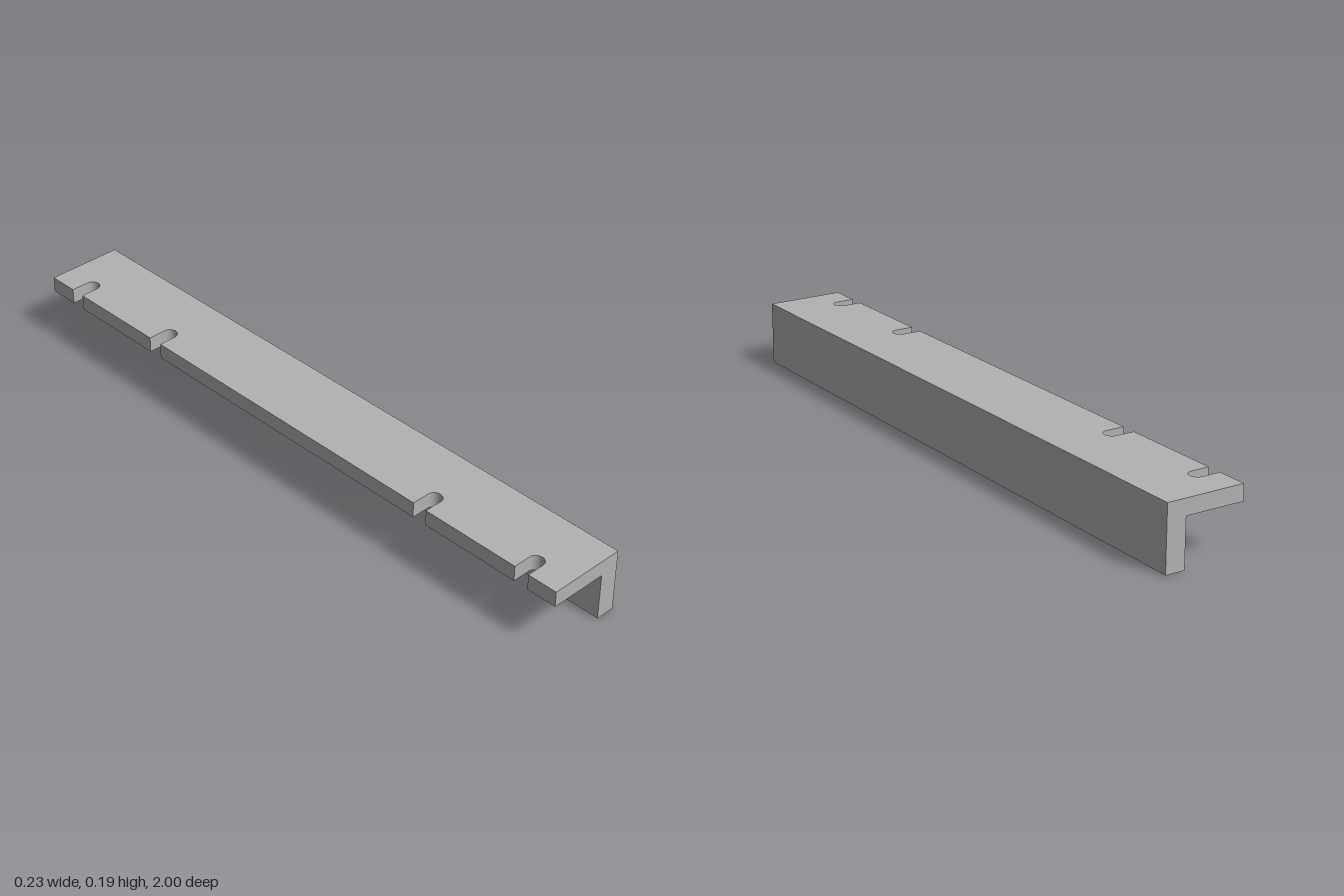
import * as THREE from 'three';

export function createModel() {
  const group = new THREE.Group();
  group.name = 'slottedAngleBar';
  const steel = new THREE.MeshStandardMaterial({ color: 0xb2b2b2 });
  steel.name = 'grey steel';

  const halfWidth = 0.117, halfLength = 1;
  const height = 0.189, flangeBottom = 0.142, webInner = 0.059;
  const slotRadius = 0.0225, slotEnd = -0.04;

  // Horizontal flange: plan outline with four round-ended slots open to the -x edge
  const plan = new THREE.Shape();
  plan.moveTo(halfWidth, halfLength);
  plan.lineTo(halfWidth, -halfLength);
  plan.lineTo(-halfWidth, -halfLength);
  for (const z of [-0.885, -0.53, 0.53, 0.885]) {
    plan.lineTo(-halfWidth, z - slotRadius);
    plan.absarc(slotEnd - slotRadius, z, slotRadius, -Math.PI / 2, Math.PI / 2, false);
    plan.lineTo(-halfWidth, z + slotRadius);
  }
  plan.lineTo(-halfWidth, halfLength);
  plan.closePath();
  const flangeGeometry = new THREE.ExtrudeGeometry(plan, {
    depth: height - flangeBottom, bevelEnabled: false, curveSegments: 16,
  });
  flangeGeometry.rotateX(-Math.PI / 2);
  const flange = new THREE.Mesh(flangeGeometry, steel);
  flange.name = 'slottedFlange';
  flange.position.y = flangeBottom;
  group.add(flange);

  // Vertical web hanging below the +x edge
  const web = new THREE.Mesh(
    new THREE.BoxGeometry(halfWidth - webInner, flangeBottom, 2 * halfLength), steel);
  web.name = 'verticalWeb';
  web.position.set((halfWidth + webInner) / 2, flangeBottom / 2, 0);
  group.add(web);

  return group;
}
